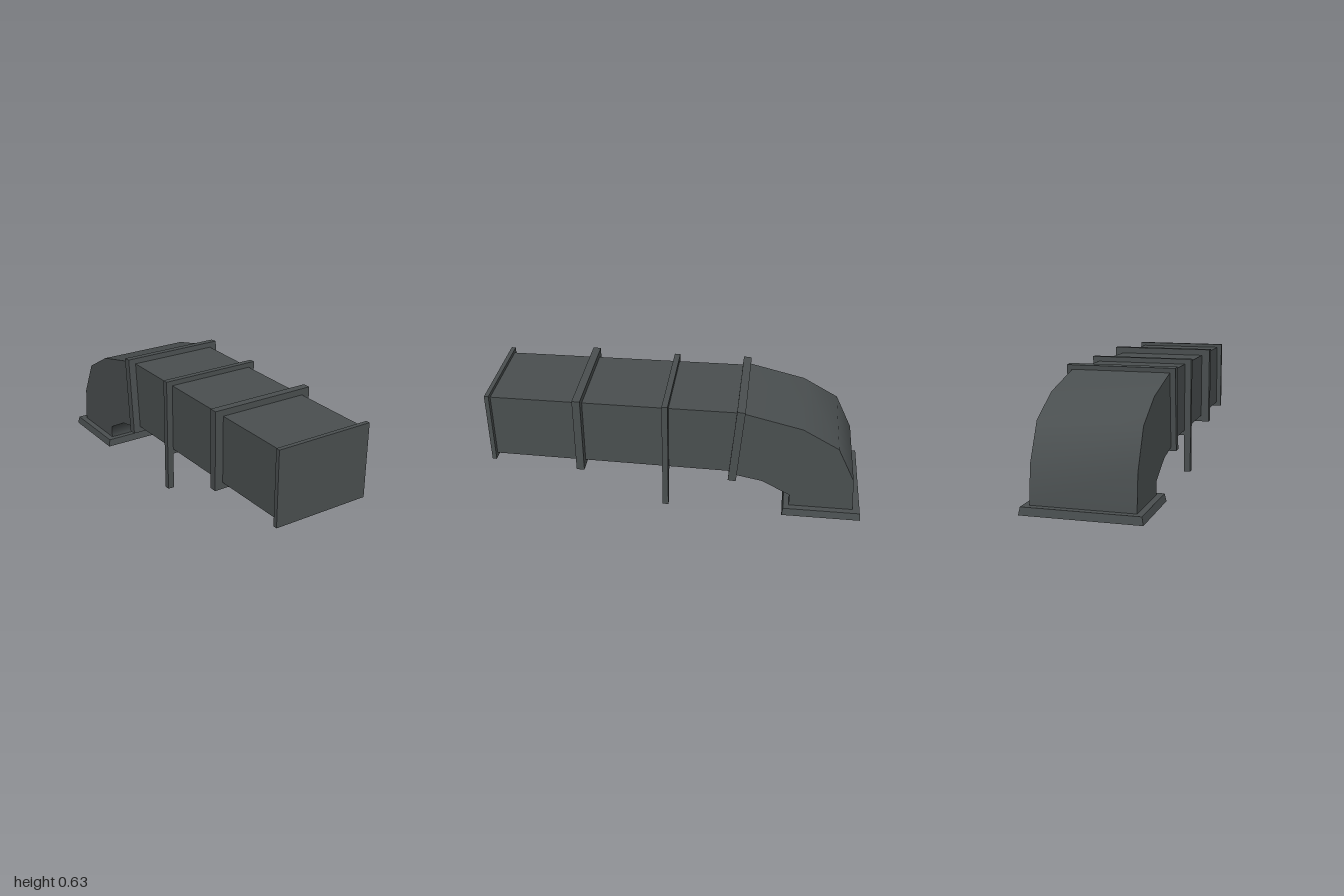
import * as THREE from 'three';
import { toCreasedNormals } from 'three/addons/utils/BufferGeometryUtils.js';

export function createModel() {
  const group = new THREE.Group();
  const metal = new THREE.MeshStandardMaterial({ color: 0x4a4f50 });

  function add(name, geometry) {
    const mesh = new THREE.Mesh(geometry, metal);
    mesh.name = name;
    group.add(mesh);
    return mesh;
  }

  // Box given by its limits
  function box(name, x0, x1, y0, y1, z0, z1) {
    const mesh = add(name, new THREE.BoxGeometry(x1 - x0, y1 - y0, z1 - z0));
    mesh.position.set((x0 + x1) / 2, (y0 + y1) / 2, (z0 + z1) / 2);
    return mesh;
  }

  // Straight duct, widening slightly towards the elbow
  const duct = new THREE.BoxGeometry(1, 1, 1);
  const p = duct.attributes.position;
  for (let i = 0; i < p.count; i++) {
    const front = p.getZ(i) > 0;
    const top = p.getY(i) > 0;
    const halfWidth = front ? 0.24 : 0.248;
    const y = top ? (front ? 0.594 : 0.6) : (front ? 0.238 : 0.23);
    p.setXYZ(i, Math.sign(p.getX(i)) * halfWidth, y, front ? 0.985 : (top ? -0.345 : -0.31));
  }
  duct.computeVertexNormals();
  add('straightDuct', duct);

  // End plate and joint flanges
  box('endPlate', -0.267, 0.267, 0.215, 0.613, 0.977, 1);
  box('middleFlange', -0.288, 0.288, 0.2, 0.63, 0.488, 0.53);
  const tilted = box('elbowFlange', -0.288, 0.288, 0.196, 0.628, -0.3455, -0.3025);
  tilted.rotation.x = -0.083;

  // Support frame around the duct with two legs
  box('frameTop', -0.28, 0.28, 0.59, 0.625, 0.035, 0.066);
  box('frameBottom', -0.28, 0.28, 0.205, 0.24, 0.035, 0.066);
  for (const side of [-1, 1]) {
    const leg = box('supportLeg', -0.0175, 0.0175, 0, 0.625, 0.035, 0.066);
    leg.position.x = side * 0.2625;
  }

  // Elbow: side profile as (z, y), extruded across the width
  const profile = [
    [-0.36, 0.602], [-0.66, 0.53], [-0.85, 0.423], [-0.943, 0.23], [-0.958, 0.035],
    [-0.616, 0.035], [-0.616, 0.107], [-0.466, 0.188], [-0.325, 0.215],
  ];
  const shape = new THREE.Shape(profile.map(([z, y]) => new THREE.Vector2(-z, y)));
  const elbow = new THREE.ExtrudeGeometry(shape, { depth: 0.52, bevelEnabled: false });
  elbow.translate(0, 0, -0.26);
  elbow.rotateY(Math.PI / 2);
  add('elbow', toCreasedNormals(elbow, 1.2));

  // Base flange with sloping sides
  const base = new THREE.BoxGeometry(0.602, 0.04, 0.42);
  const b = base.attributes.position;
  for (let i = 0; i < b.count; i++) {
    if (b.getY(i) > 0) {
      b.setX(i, Math.sign(b.getX(i)) * 0.293);
      b.setZ(i, Math.sign(b.getZ(i)) * 0.204);
    }
  }
  base.computeVertexNormals();
  add('baseFlange', base).position.set(0, 0.02, -0.79);

  return group;
}
